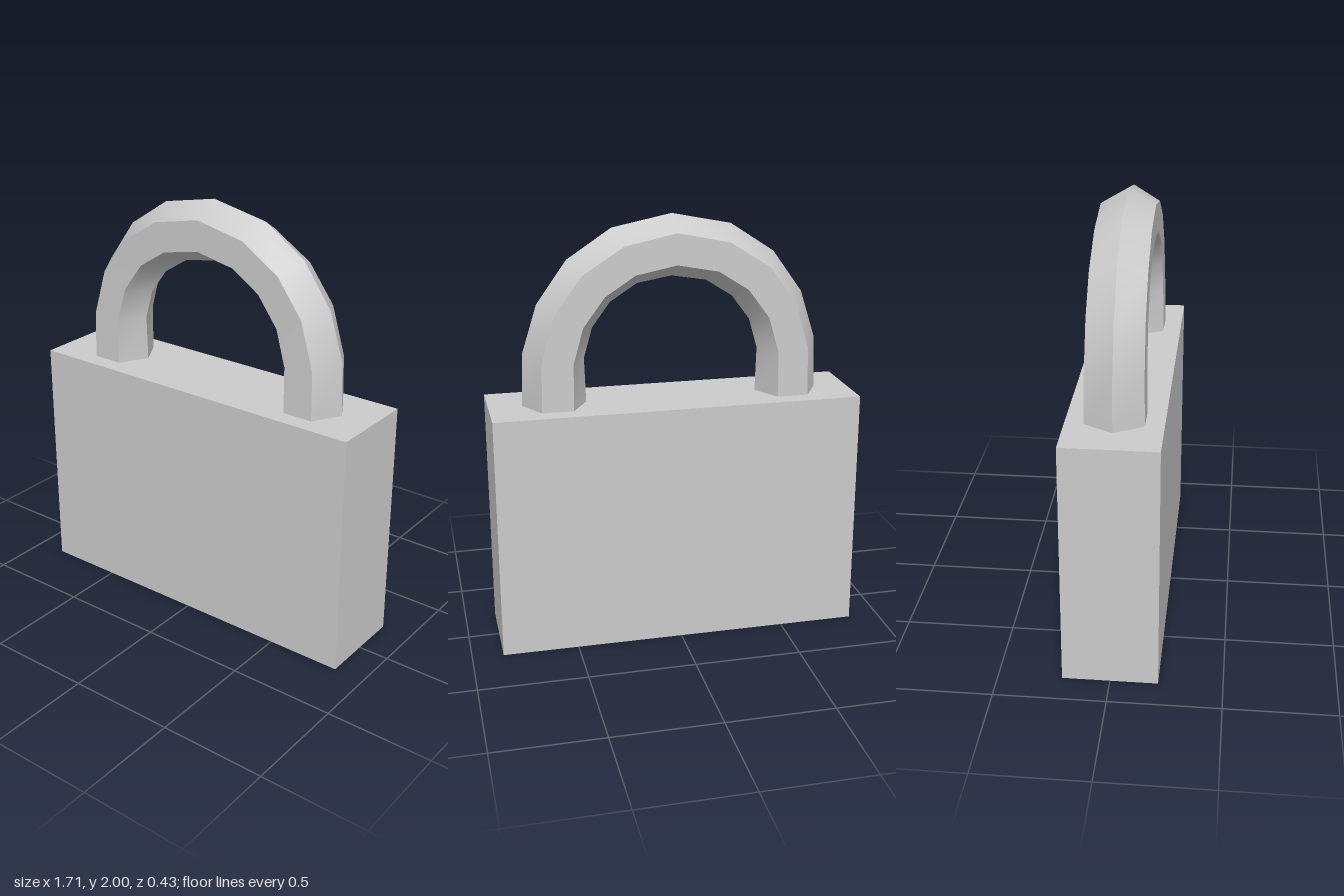
import * as THREE from 'three';

// Half of the shackle, foot to crown: [x, y] of the outer ridge, outer edge,
// inner edge and inner ridge, then the half depth of the flat face.
const HALF = [
  [[0.70, 1.14], [0.625, 1.14], [0.48, 1.14], [0.404, 1.14], 0.13],
  [[0.69, 1.395], [0.62, 1.37], [0.477, 1.36], [0.41, 1.355], 0.127],
  [[0.62, 1.615], [0.555, 1.59], [0.43, 1.525], [0.37, 1.495], 0.125],
  [[0.48, 1.81], [0.43, 1.76], [0.33, 1.66], [0.285, 1.61], 0.124],
  [[0.275, 1.945], [0.24, 1.88], [0.19, 1.75], [0.16, 1.69], 0.123],
  [[0, 2.0], [0, 1.93], [0, 1.787], [0, 1.717], 0.123],
];

// Hexagonal cross-section, mirrored across x by the sign
function section([outer, outerEdge, innerEdge, inner, d], sign) {
  const p = ([x, y], z) => [sign * x, y, z];
  return [p(outer, 0), p(outerEdge, d), p(innerEdge, d),
    p(inner, 0), p(innerEdge, -d), p(outerEdge, -d)];
}

// Each of the six strips has its own vertices: smooth along the arch, sharp between sides
function shackleGeometry() {
  const rings = [
    ...HALF.map((s) => section(s, 1)),
    ...HALF.slice(0, -1).reverse().map((s) => section(s, -1)),
  ];
  const positions = [];
  const index = [];
  for (let side = 0; side < 6; side++) {
    const start = positions.length / 3;
    rings.forEach((ring, i) => {
      positions.push(...ring[side], ...ring[(side + 1) % 6]);
      if (i === 0) return;
      const a = start + (i - 1) * 2;
      index.push(a, a + 2, a + 1, a + 1, a + 2, a + 3);
    });
  }
  // Caps on both feet
  for (const [ring, flip] of [[rings[0], false], [rings[rings.length - 1], true]]) {
    const start = positions.length / 3;
    ring.forEach((p) => positions.push(...p));
    for (let i = 1; i < 5; i++) {
      index.push(start, start + (flip ? i + 1 : i), start + (flip ? i : i + 1));
    }
  }
  const geometry = new THREE.BufferGeometry();
  geometry.setAttribute('position', new THREE.Float32BufferAttribute(positions, 3));
  geometry.setIndex(index);
  geometry.computeVertexNormals();
  return geometry;
}

export function createModel() {
  const model = new THREE.Group();
  model.name = 'padlock';
  const material = new THREE.MeshStandardMaterial({ color: 0xcccccc });

  // Plain block body
  const body = new THREE.Mesh(new THREE.BoxGeometry(1.71, 1.146, 0.428), material);
  body.name = 'body';
  body.position.y = 0.573;

  // Six-sided arched shackle
  const shackle = new THREE.Mesh(shackleGeometry(), material);
  shackle.name = 'shackle';

  model.add(body, shackle);
  return model;
}
